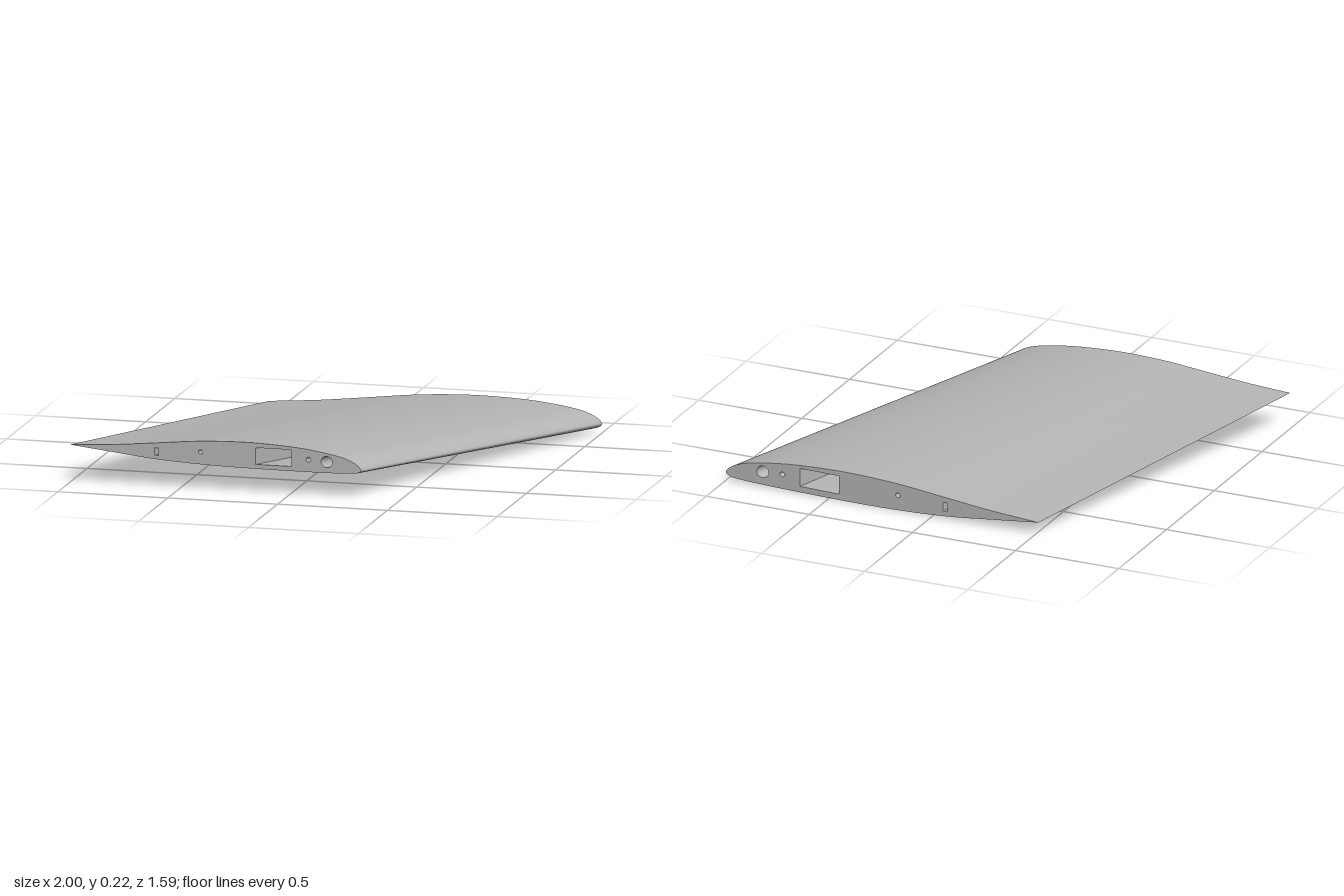
import * as THREE from 'three';

const { lerp } = THREE.MathUtils;

// Airfoil outline in chord units: u runs nose (0) to trailing edge (1), v is the height.
const upper = [[1, 0], [0.85, 0.014], [0.7, 0.033], [0.55, 0.052], [0.4, 0.062], [0.3, 0.0623],
  [0.2, 0.058], [0.1, 0.046], [0.05, 0.035], [0.0125, 0.017]];
const lower = [[0, 0], [0.0125, -0.009], [0.05, -0.0135], [0.1, -0.0165], [0.25, -0.022],
  [0.5, -0.027], [0.7, -0.023], [0.85, -0.012], [1, 0]];

// Place an airfoil point in space; t = 0 is the front end, t = 1 the back end.
function place(u, v, t) {
  const noseX = lerp(0.325, 1, t), tailX = lerp(-1, -0.515, t);
  const noseY = lerp(0.125, 0.04, t), tailY = lerp(0.17, 0.06, t);
  const grow = v > 0 ? lerp(1, 0.965, t) : lerp(1, 1.2, t);
  return [lerp(noseX, tailX, u), lerp(noseY, tailY, u) + v * grow * (noseX - tailX), lerp(0.795, -0.795, t)];
}

// Stretch a section line from the front end to the back end.
function loft(points, steps) {
  const positions = [], index = [], n = points.length;
  for (let j = 0; j <= steps; j++) {
    for (const p of points) positions.push(...place(p.x, p.y, j / steps));
  }
  for (let j = 0; j < steps; j++) {
    for (let i = 0; i < n - 1; i++) {
      const a = j * n + i, b = a + 1, c = a + n, d = c + 1;
      index.push(a, b, c, b, d, c);
    }
  }
  const geometry = new THREE.BufferGeometry();
  geometry.setAttribute('position', new THREE.Float32BufferAttribute(positions, 3));
  geometry.setIndex(index);
  geometry.computeVertexNormals();
  return geometry;
}

// End rib with the hole outlines cut out.
function rib(outline, holes, t) {
  const shape = new THREE.Shape(outline.slice(0, -1));
  shape.holes = holes.map(h => new THREE.Path(h.slice(0, -1)));
  const geometry = new THREE.ShapeGeometry(shape);
  const pos = geometry.attributes.position;
  for (let i = 0; i < pos.count; i++) pos.setXYZ(i, ...place(pos.getX(i), pos.getY(i), t));
  if (t === 0) geometry.setIndex(Array.from(geometry.index.array).reverse());
  geometry.computeVertexNormals();
  return geometry;
}

const toPoints = list => list.map(([u, v]) => new THREE.Vector2(u, v));

function circle(u, v, r, sides = 24) {
  const list = [];
  for (let i = 0; i <= sides; i++) {
    const a = (i / sides) * Math.PI * 2;
    list.push([u + r * Math.cos(a), v - r * Math.sin(a)]);
  }
  return toPoints(list);
}

export function createModel() {
  const group = new THREE.Group();
  group.name = 'wingPanel';
  const grey = new THREE.MeshStandardMaterial({ color: 0xb4b4b4 });
  grey.name = 'lightGrey';
  const add = (name, geometry) => {
    const mesh = new THREE.Mesh(geometry, grey);
    mesh.name = name;
    group.add(mesh);
  };

  const curve = new THREE.CatmullRomCurve3([...upper, ...lower].map(([u, v]) => new THREE.Vector3(u, v, 0)));
  const outline = curve.getPoints(108).map(p => new THREE.Vector2(p.x, p.y));

  // Channels running the whole span
  const channels = [
    { name: 'leadingTubeChannel', line: circle(0.118, 0.02, 0.019) },
    { name: 'frontPinChannel', line: circle(0.181, 0.022, 0.008) },
    { name: 'rearPinChannel', line: circle(0.551, 0.015, 0.0075) },
    { name: 'sparChannel', flat: true,
      line: toPoints([[0.238, -0.006], [0.238, 0.0505], [0.362, 0.0465], [0.362, -0.01], [0.238, -0.006]]) },
    { name: 'rearSlotChannel', flat: true,
      line: toPoints([[0.695, -0.01], [0.695, 0.0155], [0.709, 0.0155], [0.709, -0.01], [0.695, -0.01]]) },
  ];

  // Outer skin and its two end ribs
  add('skin', loft(outline, 12));
  const holes = channels.map(c => c.line);
  add('frontRib', rib(outline, holes, 0));
  add('backRib', rib(outline, holes, 1));

  // Inner walls of the channels
  for (const { name, line, flat } of channels) {
    let geometry = loft(line, 1);
    if (flat) {
      geometry = geometry.toNonIndexed();
      geometry.computeVertexNormals();
    }
    add(name, geometry);
  }
  return group;
}
